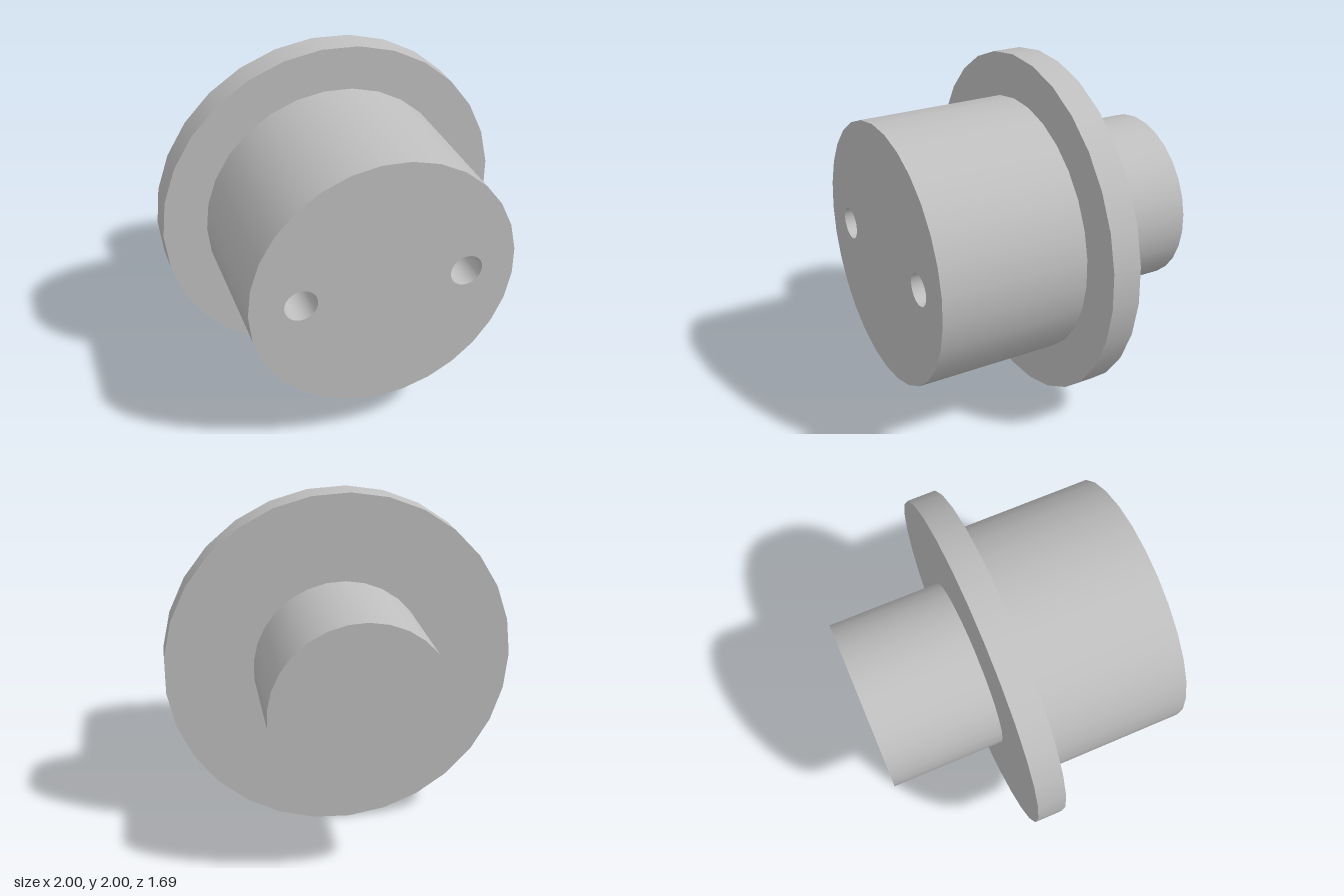
import * as THREE from 'three';

const SIDES = 29, HOLE_SIDES = 24;
const FRONT = 0.845, FLANGE_FRONT = -0.012, FLANGE_BACK = -0.178, BACK = -0.845;
const BODY_R = 0.75, FLANGE_R = 1.001, SHAFT_R = 0.5;
const HOLE_R = 0.092, HOLE_X = 0.467, HOLE_DEPTH = 0.35, TIP_DEPTH = 0.405;

// Points of a regular polygon around (cx, 0)
function circle(radius, sides, cx = 0) {
  return Array.from({ length: sides }, (_, i) => {
    const a = Math.PI + (i / sides) * Math.PI * 2;
    return new THREE.Vector2(cx + radius * Math.cos(a), radius * Math.sin(a));
  });
}

// Open cylinder wall along z with a corner on the -x side
function wall(radius, z0, z1) {
  return new THREE.CylinderGeometry(radius, radius, z1 - z0, SIDES, 1, true)
    .rotateX(Math.PI / 2).rotateZ(-Math.PI / 2).translate(0, 0, (z0 + z1) / 2);
}

// Inward-facing surface of revolution along z
function bore(points) {
  return new THREE.LatheGeometry(points.map(p => new THREE.Vector2(...p)), HOLE_SIDES)
    .rotateX(Math.PI / 2);
}

export function createModel() {
  const model = new THREE.Group();
  model.name = 'flangedPlug';
  const grey = new THREE.MeshStandardMaterial({ color: 0xbfbfbf });
  grey.name = 'plain grey';

  const parts = {};
  for (const name of ['body', 'flange', 'shaft']) {
    parts[name] = new THREE.Group();
    parts[name].name = name;
    parts[name].position.set(0.003, 1, 0);
    model.add(parts[name]);
  }
  const add = (part, name, geometry, x = 0, z = 0) => {
    const mesh = new THREE.Mesh(geometry, grey);
    mesh.name = name;
    mesh.position.set(x, 0, z);
    parts[part].add(mesh);
  };

  // Wide front body with two drilled holes
  const face = new THREE.Shape(circle(BODY_R, SIDES));
  for (const x of [-HOLE_X, HOLE_X]) {
    face.holes.push(new THREE.Path(circle(HOLE_R, HOLE_SIDES, x)));
    add('body', 'holeWall', bore([[HOLE_R, 0], [HOLE_R, -HOLE_DEPTH]]), x, FRONT);
    add('body', 'holeTip', bore([[HOLE_R, -HOLE_DEPTH], [0, -TIP_DEPTH]]), x, FRONT);
  }
  add('body', 'bodyFace', new THREE.ShapeGeometry(face), 0, FRONT);
  add('body', 'bodyWall', wall(BODY_R, FLANGE_FRONT, FRONT));

  // Thin flange disc
  add('flange', 'flangeRim', wall(FLANGE_R, FLANGE_BACK, FLANGE_FRONT));
  add('flange', 'flangeFront',
    new THREE.RingGeometry(BODY_R, FLANGE_R, SIDES, 1, Math.PI), 0, FLANGE_FRONT);
  add('flange', 'flangeBack',
    new THREE.RingGeometry(SHAFT_R, FLANGE_R, SIDES, 1, 0).rotateY(Math.PI), 0, FLANGE_BACK);

  // Narrow rear shaft
  add('shaft', 'shaftWall', wall(SHAFT_R, BACK, FLANGE_BACK));
  add('shaft', 'shaftEnd', new THREE.CircleGeometry(SHAFT_R, SIDES).rotateY(Math.PI), 0, BACK);

  return model;
}
